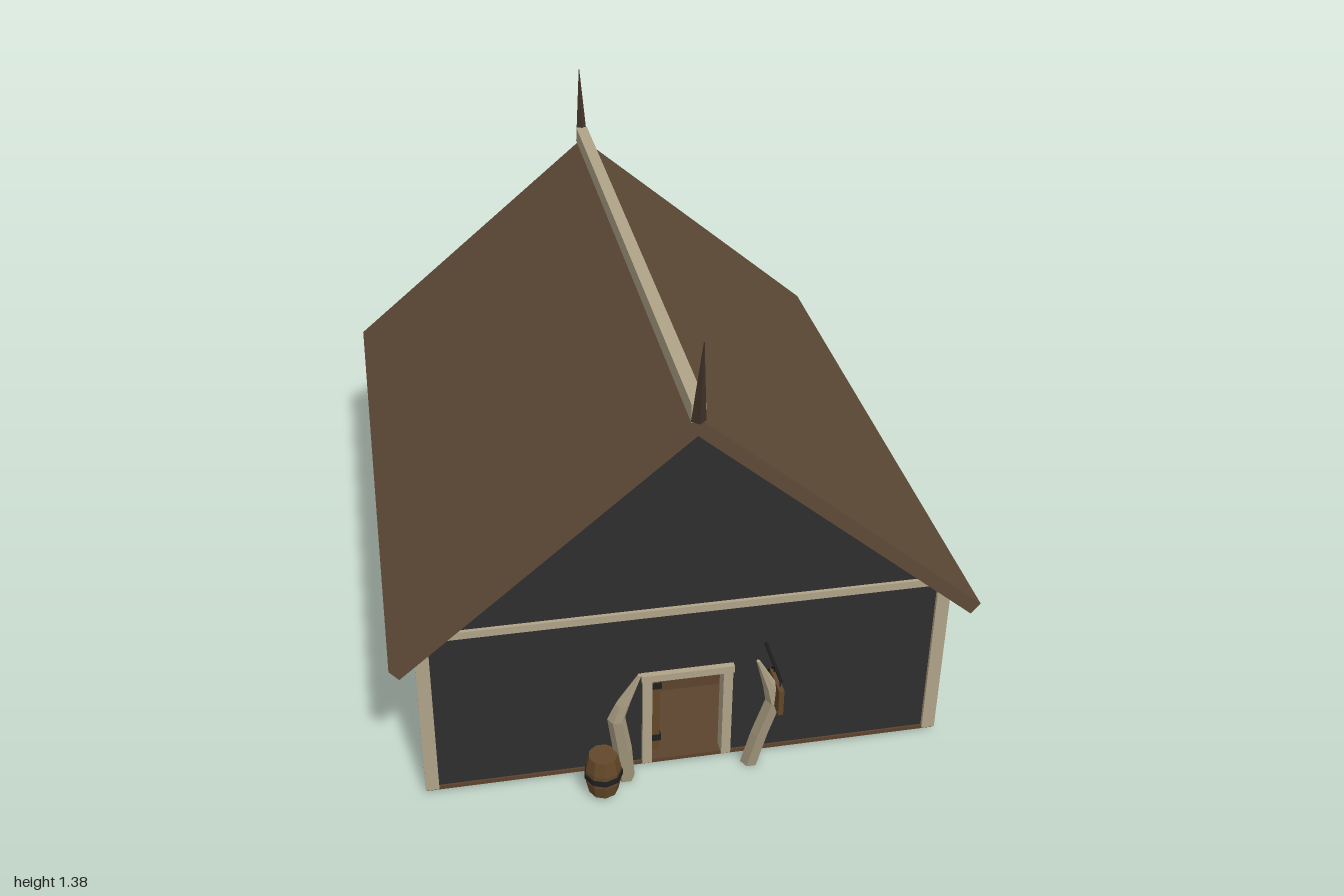
import * as THREE from 'three';

const mat = (name, color) => Object.assign(new THREE.MeshStandardMaterial({ color, flatShading: true }), { name });

export function createModel() {
  const house = new THREE.Group();
  house.name = 'longhouse';
  const charcoal = mat('charcoal wall', 0x2e2e2e);
  const tan = mat('pale timber', 0xb0a387);
  const brown = mat('roof brown', 0x5e4a37);
  const horn = mat('dark horn', 0x42342a);
  const wood = mat('warm wood', 0x634729);
  const floorWood = mat('floor wood', 0x5c432e);
  const iron = mat('iron', 0x1f1f20);

  const add = (name, geometry, material, parent = house) => {
    const m = new THREE.Mesh(geometry, material);
    m.name = name;
    parent.add(m);
    return m;
  };
  // Box given by its minimum and maximum corners
  const box = (name, material, [x0, y0, z0], [x1, y1, z1], parent) => {
    const m = add(name, new THREE.BoxGeometry(x1 - x0, y1 - y0, z1 - z0), material, parent);
    m.position.set((x0 + x1) / 2, (y0 + y1) / 2, (z0 + z1) / 2);
    return m;
  };
  // Outline in x,y extruded from z0 to z1
  const slab = (name, material, points, z0, z1) => {
    const shape = new THREE.Shape(points.map(p => new THREE.Vector2(...p)));
    const g = new THREE.ExtrudeGeometry(shape, { depth: z1 - z0, bevelEnabled: false });
    return add(name, g.translate(0, 0, z0), material);
  };
  // Loft through horizontal rings [x, y, z, radiusX, radiusZ], listed from the bottom up
  const loft = (rings, sides) => {
    const pos = [], index = [];
    for (const [x, y, z, rx, rz] of rings)
      for (let j = 0; j < sides; j++) {
        const a = (j / sides) * Math.PI * 2;
        pos.push(x + Math.cos(a) * rx, y, z + Math.sin(a) * rz);
      }
    for (let i = 0; i < rings.length - 1; i++)
      for (let j = 0; j < sides; j++) {
        const k = (j + 1) % sides, a = i * sides, b = a + sides;
        index.push(a + j, b + j, b + k, a + j, b + k, a + k);
      }
    const top = (rings.length - 1) * sides;
    for (let j = 1; j < sides - 1; j++) index.push(0, j, j + 1, top, top + j + 1, top + j);
    const g = new THREE.BufferGeometry();
    g.setAttribute('position', new THREE.Float32BufferAttribute(pos, 3));
    g.setIndex(index);
    const flat = g.toNonIndexed();
    flat.computeVertexNormals();
    return flat;
  };
  // Round bar between two points
  const bar = (name, material, from, to, r) => {
    const a = new THREE.Vector3(...from), b = new THREE.Vector3(...to);
    const m = add(name, new THREE.CylinderGeometry(r, r, a.distanceTo(b), 6), material);
    m.position.copy(a).add(b).multiplyScalar(0.5);
    m.quaternion.setFromUnitVectors(new THREE.Vector3(0, 1, 0), b.sub(a).normalize());
  };

  // Floor and walls, with a doorway cut in the front
  box('floor', floorWood, [-0.715, 0.012, -0.895], [0.715, 0.024, 0.835]);
  const gable = [[0.71, 0.02], [0.71, 0.5], [0, 1.105], [-0.71, 0.5], [-0.71, 0.02]];
  const doorway = [[-0.1, 0.02], [-0.1, 0.31], [0.1, 0.31], [0.1, 0.02]];
  slab('frontWall', charcoal, [...gable, ...doorway], 0.805, 0.83);
  slab('backWall', charcoal, gable, -0.89, -0.865);
  for (const s of [-1, 1]) {
    const x0 = s > 0 ? 0.685 : -0.71;
    box('sideWall', charcoal, [x0, 0.02, -0.87], [x0 + 0.025, 0.505, 0.81]);
  }

  // Corner posts and gable beams
  for (const x of [-0.72, 0.683])
    for (const z of [-0.9, 0.803]) box('cornerPost', tan, [x, 0.018, z], [x + 0.037, 0.525, z + 0.037]);
  box('frontBeam', tan, [-0.69, 0.523, 0.81], [0.69, 0.545, 0.84]);
  box('backBeam', tan, [-0.69, 0.523, -0.9], [0.69, 0.545, -0.87]);

  // Roof and ridge
  slab('roof', brown, [[0, 1.15], [-0.787, 0.485], [-0.762, 0.455], [0, 1.1], [0.762, 0.455], [0.787, 0.485]], -0.96, 0.89);
  box('ridgeBeam', tan, [-0.018, 1.14, -0.962], [0.018, 1.19, 0.892]);

  // Ridge horns, leaning outward
  for (const [z, s] of [[0.89, 1], [-0.96, -1]])
    add('ridgeHorn', loft([
      [0, 1.143, z + s * 0.002, 0.019, 0.016],
      [0, 1.21, z + s * 0.012, 0.014, 0.014],
      [0, 1.378, z + s * 0.039, 0.001, 0.001]], 4), horn);

  // Windows with crossed bars
  for (const s of [-1, 1])
    for (const z of [0.4, -0.46]) {
      const w = new THREE.Group();
      w.name = 'window';
      w.position.set(s * 0.713, 0.243, z);
      house.add(w);
      box('windowPane', charcoal, [-0.004, -0.057, -0.05], [0.004, 0.057, 0.05], w);
      box('windowUpright', tan, [-0.006, -0.058, -0.006], [0.006, 0.058, 0.006], w);
      box('windowCrossbar', tan, [-0.006, -0.004, -0.051], [0.006, 0.008, 0.051], w);
    }

  // Door frame and the door swung inward
  for (const x of [-0.124, 0.098]) box('doorPost', tan, [x, 0.022, 0.8], [x + 0.026, 0.315, 0.845]);
  box('doorLintel', tan, [-0.127, 0.31, 0.8], [0.127, 0.332, 0.847]);
  box('openDoor', wood, [-0.098, 0.026, 0.61], [-0.068, 0.305, 0.8]);
  for (const y of [0.06, 0.245]) box('doorHinge', iron, [-0.099, y, 0.74], [-0.064, y + 0.02, 0.803]);

  // Furnishing seen through the doorway
  box('counter', floorWood, [-0.066, 0.024, 0.42], [0.3, 0.182, 0.56]);
  box('hangingRail', wood, [-0.3, 0.257, 0.4], [0.3, 0.265, 0.408]);
  box('railHook', wood, [0.015, 0.265, 0.4], [0.023, 0.29, 0.408]);

  // Bent tusks beside the door
  for (const s of [-1, 1])
    add('tusk', loft([
      [s * 0.175, 0, 0.86, 0.026, 0.028],
      [s * 0.19, 0.14, 0.9, 0.026, 0.026],
      [s * 0.213, 0.285, 0.94, 0.024, 0.026],
      [s * 0.197, 0.345, 0.953, 0.02, 0.019],
      [s * 0.156, 0.447, 0.97, 0.005, 0.007]], 6), tan);

  // Barrel with an iron hoop
  const barrel = new THREE.Group();
  barrel.name = 'barrel';
  barrel.position.set(-0.245, 0.018, 0.915);
  house.add(barrel);
  const profile = [[0, 0], [0.04, 0], [0.049, 0.04], [0.049, 0.08], [0.04, 0.122], [0, 0.122]];
  add('barrelBody', new THREE.LatheGeometry(profile.map(p => new THREE.Vector2(...p)), 9), wood, barrel);
  add('barrelHoop', new THREE.CylinderGeometry(0.053, 0.053, 0.016, 9), iron, barrel).position.y = 0.06;

  // Hanging sign on an iron bracket
  bar('signPole', iron, [0.215, 0.385, 0.83], [0.215, 0.385, 0.99], 0.005);
  bar('signBrace', iron, [0.215, 0.283, 0.832], [0.215, 0.383, 0.925], 0.004);
  for (const z of [0.92, 0.98]) bar('signHanger', iron, [0.215, 0.355, z], [0.215, 0.385, z], 0.002);
  box('signBoard', wood, [0.208, 0.28, 0.902], [0.222, 0.36, 1.0]);

  return house;
}
